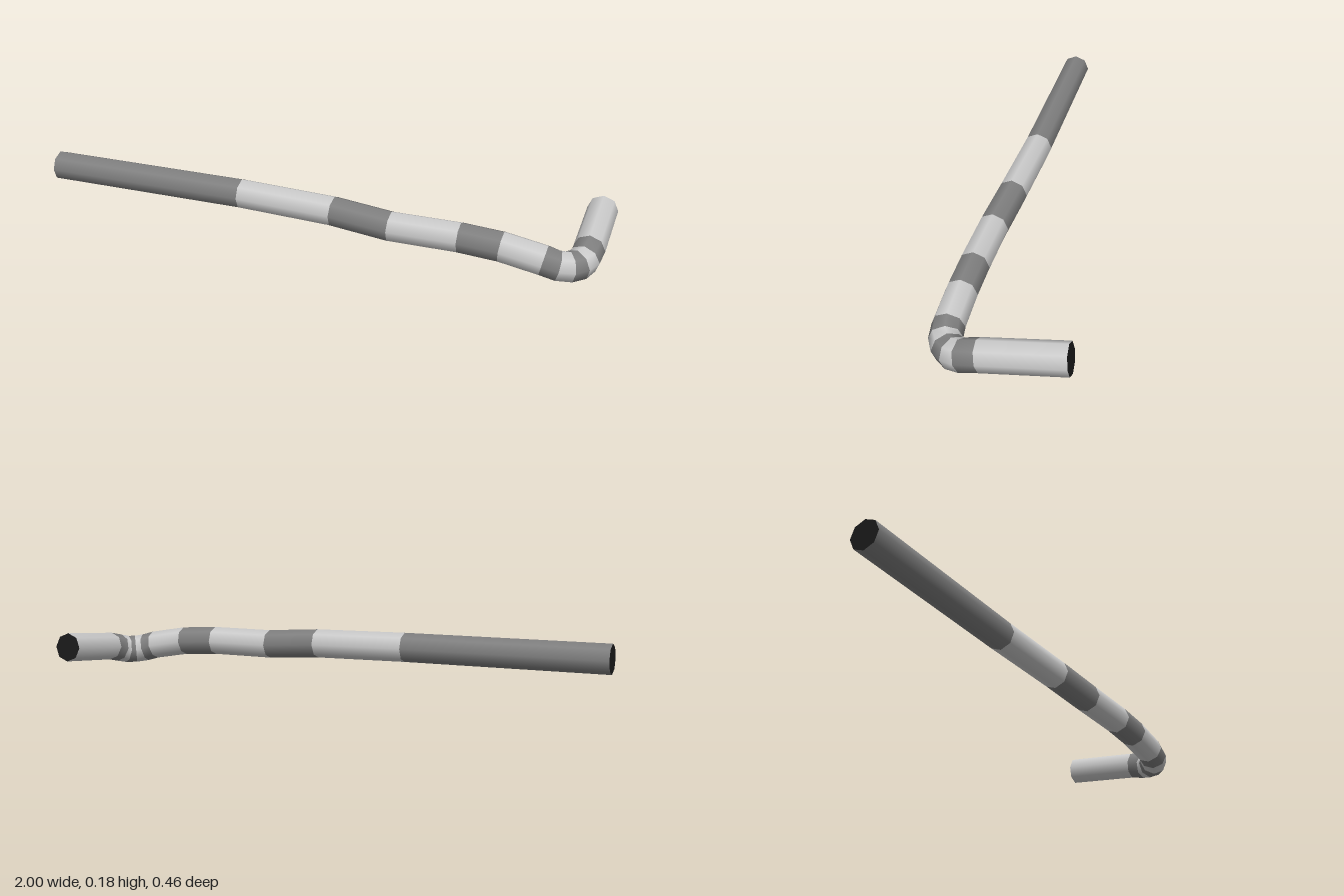
import * as THREE from 'three';

const SIDES = 8;
const RADIUS = 0.053;

// centre line of the bent pipe, one point per band boundary
const PATH = [
  [-1, 0.132, 0.145], [-0.26, 0.129, 0.145], [0.09, 0.122, 0.157],
  [0.3, 0.106, 0.172], [0.54, 0.106, 0.173], [0.68, 0.097, 0.174],
  [0.82, 0.073, 0.175], [0.865, 0.06, 0.171], [0.9, 0.054, 0.155],
  [0.925, 0.055, 0.13], [0.94, 0.063, 0.1], [0.945, 0.076, 0.045],
  [0.945, 0.105, -0.228],
].map((p) => new THREE.Vector3(...p));

// ring of points square to the path, with one corner at the top
function makeRing(i) {
  const c = PATH[i];
  const t = new THREE.Vector3();
  if (i > 0) t.add(c.clone().sub(PATH[i - 1]).normalize());
  if (i < PATH.length - 1) t.add(PATH[i + 1].clone().sub(c).normalize());
  t.normalize();
  const up = new THREE.Vector3(0, 1, 0).addScaledVector(t, -t.y).normalize();
  const side = t.clone().cross(up);
  const normals = [];
  for (let k = 0; k <= SIDES; k++) {
    const a = (k / SIDES) * Math.PI * 2;
    normals.push(up.clone().multiplyScalar(Math.cos(a)).addScaledVector(side, Math.sin(a)));
  }
  const points = normals.map((n) => c.clone().addScaledVector(n, RADIUS));
  return { c, t, normals, points };
}

function makeGeometry(points, normals, index) {
  const g = new THREE.BufferGeometry();
  g.setAttribute('position', new THREE.Float32BufferAttribute(points.flatMap((p) => p.toArray()), 3));
  g.setAttribute('normal', new THREE.Float32BufferAttribute(normals.flatMap((n) => n.toArray()), 3));
  g.setIndex(index);
  return g;
}

// tube wall between two rings
function bandGeometry(a, b) {
  const index = [];
  const m = SIDES + 1;
  for (let k = 0; k < SIDES; k++) {
    index.push(k, k + 1, m + k, k + 1, m + k + 1, m + k);
  }
  return makeGeometry([...a.points, ...b.points], [...a.normals, ...b.normals], index);
}

// flat disc closing an end
function capGeometry(ring, atStart) {
  const n = ring.t.clone().multiplyScalar(atStart ? -1 : 1);
  const points = [ring.c, ...ring.points];
  const index = [];
  for (let k = 1; k <= SIDES; k++) {
    index.push(0, atStart ? k + 1 : k, atStart ? k : k + 1);
  }
  return makeGeometry(points, points.map(() => n), index);
}

export function createModel() {
  const group = new THREE.Group();
  group.name = 'bentPipe';
  const light = new THREE.MeshStandardMaterial({ color: 0xcccccc });
  const dark = new THREE.MeshStandardMaterial({ color: 0x808080 });
  const black = new THREE.MeshStandardMaterial({ color: 0x1a1a1a });
  const add = (geometry, material, name) => {
    const mesh = new THREE.Mesh(geometry, material);
    mesh.name = name;
    group.add(mesh);
  };

  const rings = PATH.map((_, i) => makeRing(i));

  // alternating dark and light bands
  for (let i = 0; i < rings.length - 1; i++) {
    const isDark = i % 2 === 0;
    add(bandGeometry(rings[i], rings[i + 1]), isDark ? dark : light, (isDark ? 'darkBand' : 'lightBand') + (i + 1));
  }

  // black ends
  add(capGeometry(rings[0], true), black, 'longEndCap');
  add(capGeometry(rings[rings.length - 1], false), black, 'shortEndCap');
  return group;
}
